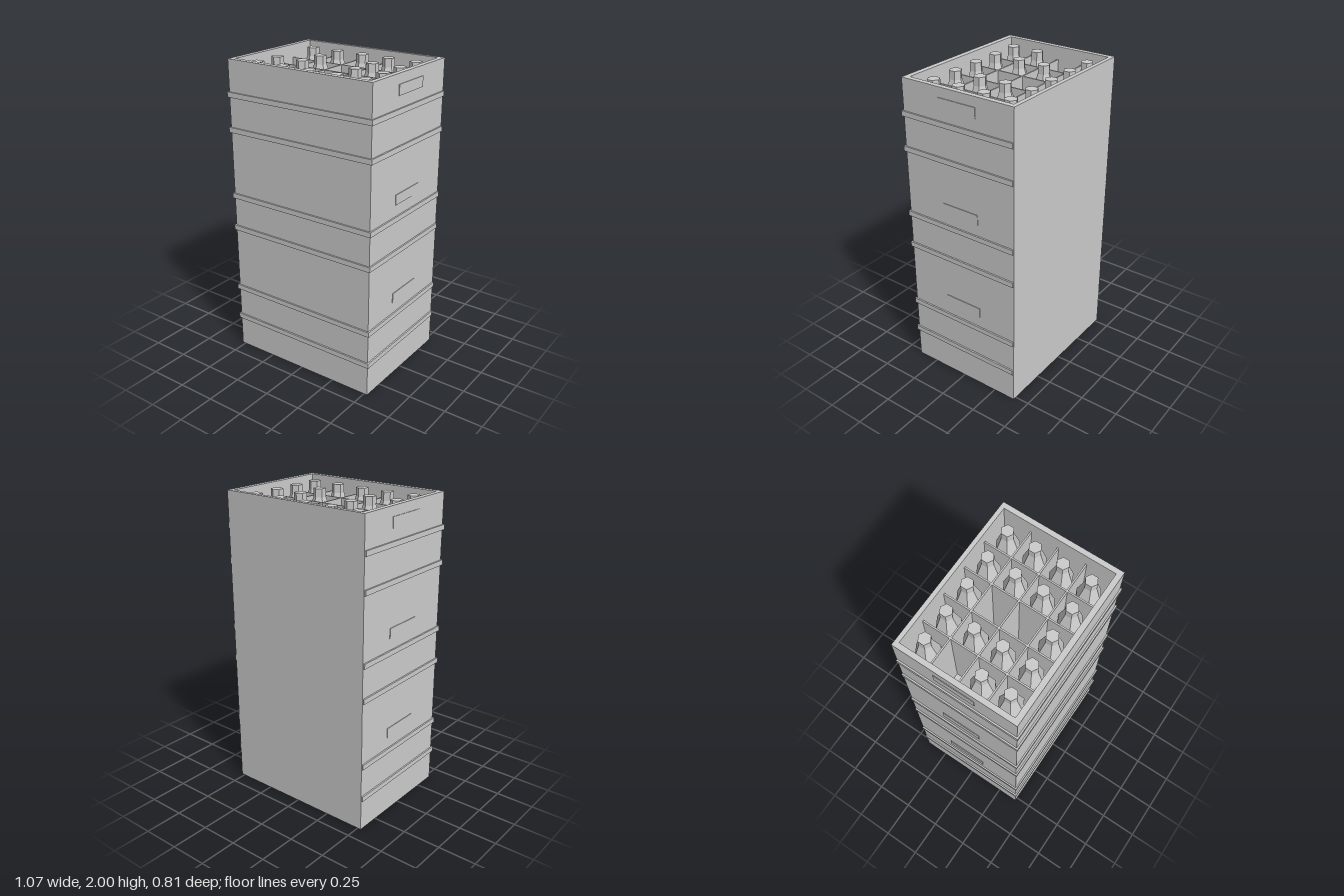
import * as THREE from 'three';

export function createModel() {
  const model = new THREE.Group();
  model.name = 'crateStack';
  const grey = new THREE.MeshStandardMaterial({ color: 0xcccccc, flatShading: true });
  grey.name = 'light grey';

  const add = (geometry, name) => {
    const mesh = new THREE.Mesh(geometry, grey);
    mesh.name = name;
    model.add(mesh);
    return mesh;
  };
  // Box given by its minimum and maximum corners
  const box = (name, x0, x1, y0, y1, z0, z1) =>
    add(new THREE.BoxGeometry(x1 - x0, y1 - y0, z1 - z0), name)
      .position.set((x0 + x1) / 2, (y0 + y1) / 2, (z0 + z1) / 2);

  const W = 0.523, BACK = -0.403, FRONT = 0.393;
  const IN_W = 0.49, IN_BACK = -0.376, IN_FRONT = 0.358;
  const CRATE = 2 / 3, FLOOR = 1.37, DIVIDER_TOP = 1.915;

  // Outer walls: a rectangular tube, drawn in plan and stood upright
  const rect = (path, x, zBack, zFront) => {
    path.moveTo(-x, -zFront);
    path.lineTo(x, -zFront);
    path.lineTo(x, -zBack);
    path.lineTo(-x, -zBack);
    path.closePath();
    return path;
  };
  const plan = rect(new THREE.Shape(), W, BACK, FRONT);
  plan.holes.push(rect(new THREE.Path(), IN_W, IN_BACK, IN_FRONT));
  const walls = new THREE.ExtrudeGeometry(plan, { depth: 2, bevelEnabled: false });
  walls.rotateX(-Math.PI / 2);
  add(walls, 'crateWalls');

  // Recessed base and the floor of the top crate
  box('base', -IN_W, IN_W, 0.02, 0.05, IN_BACK, IN_FRONT);
  box('topCrateFloor', -IN_W, IN_W, FLOOR - 0.03, FLOOR, IN_BACK, IN_FRONT);

  // Ribs round the front and sides, and handle plates, on each crate
  for (let i = 0; i < 3; i++) {
    const y = i * CRATE;
    for (const ribY of [0.205, 0.43]) {
      const y0 = y + ribY, y1 = y0 + 0.033;
      box('frontRib', -0.533, 0.533, y0, y1, FRONT, 0.403);
      box('leftRib', W, 0.533, y0, y1, -0.399, FRONT);
      box('rightRib', -0.533, -W, y0, y1, -0.399, FRONT);
    }
    box('leftHandle', W, W + 0.004, y + 0.538, y + 0.604, -0.142, 0.122);
    box('rightHandle', -W - 0.004, -W, y + 0.538, y + 0.604, -0.142, 0.122);
  }

  // Dividers of the top crate
  for (const x of [-0.293, -0.098, 0.098, 0.293])
    box('lengthDivider', x - 0.005, x + 0.005, FLOOR, DIVIDER_TOP, IN_BACK, IN_FRONT);
  for (const z of [-0.194, -0.011, 0.175])
    box('crossDivider', -IN_W, IN_W, FLOOR, DIVIDER_TOP, z - 0.005, z + 0.005);

  // Six-sided bottles, with three cells left empty
  const profile = [[0, FLOOR], [0.079, FLOOR], [0.079, 1.8], [0.04, 1.925], [0.04, 1.98], [0, 1.98]]
    .map(([r, y]) => new THREE.Vector2(r, y));
  const bottle = new THREE.LatheGeometry(profile, 6);
  const rows = ['11111', '01011', '11011', '11111'];
  const rowZ = [-0.286, -0.102, 0.081, 0.266];
  rows.forEach((row, r) => {
    [...row].forEach((cell, c) => {
      if (cell === '1') add(bottle, 'bottle').position.set((c - 2) * 0.1957, 0, rowZ[r]);
    });
  });

  return model;
}
